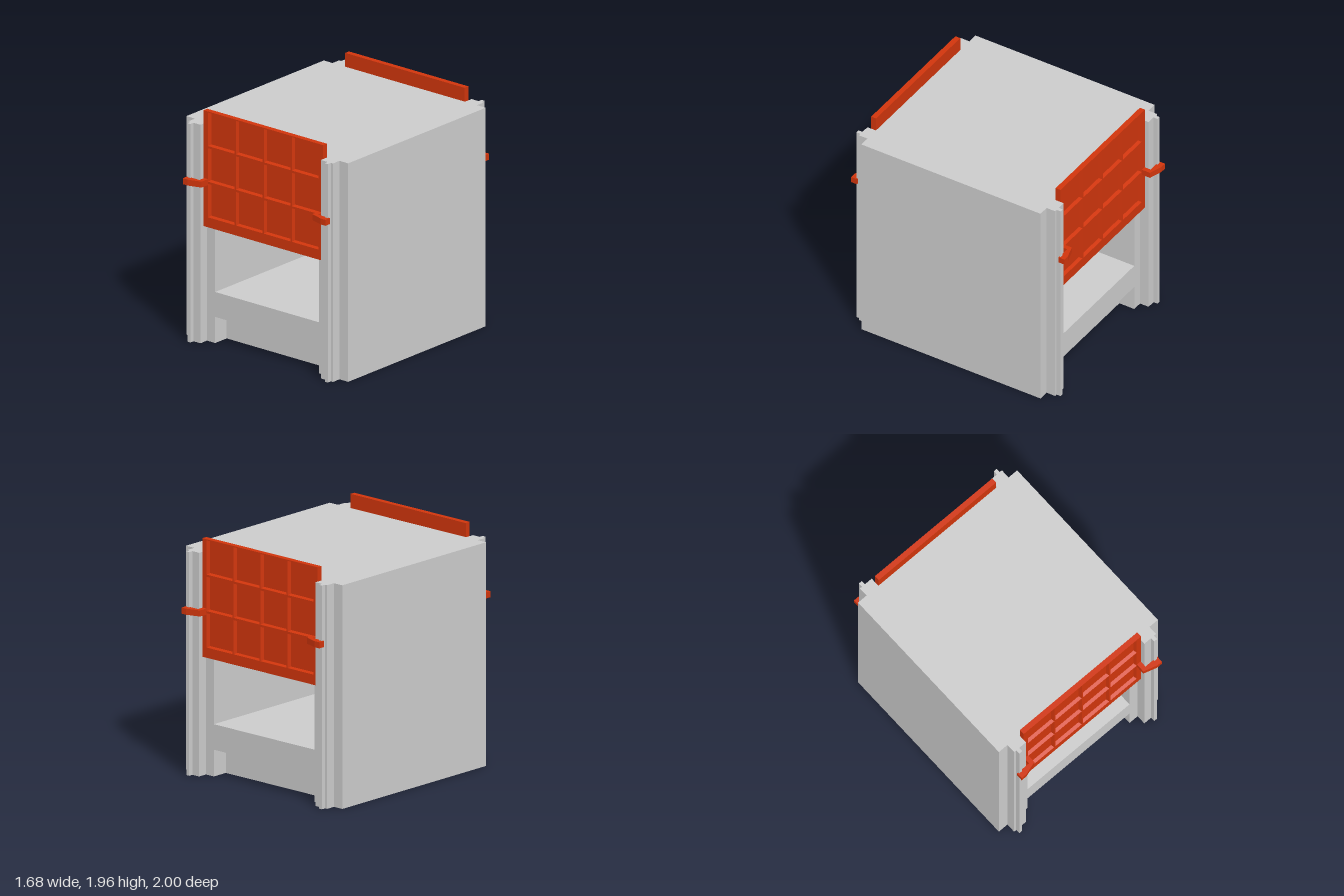
import * as THREE from 'three';

const grey = new THREE.MeshStandardMaterial({ color: 0xcccccc, flatShading: true });
const orange = new THREE.MeshStandardMaterial({ color: 0xd0350c, flatShading: true });

const W = 0.84, H = 1.84, D = 0.84;            // half width, height, half depth of the body
const OPEN = { x: 0.54, y0: 0.43, y1: 1.29 };  // passage through the body
const RECESS = { h: 0.22, d: 0.14 };           // toe recess below each opening

const vectors = (pts) => pts.map(([x, y]) => new THREE.Vector2(x, y));
const rect = (x0, y0, x1, y1) => vectors([[x0, y0], [x1, y0], [x1, y1], [x0, y1]]);

function extrude(points, holes, depth) {
  const shape = new THREE.Shape(points);
  for (const hole of holes) shape.holes.push(new THREE.Path(hole));
  return new THREE.ExtrudeGeometry(shape, { depth, bevelEnabled: false });
}

// Plan outline (x, z) raised from y0 to y1
function upright(points, y0, y1) {
  return extrude(points, [], y1 - y0).rotateX(Math.PI / 2).translate(0, y1, 0);
}

function add(parent, name, geometry, material) {
  const mesh = new THREE.Mesh(geometry, material);
  mesh.name = name;
  parent.add(mesh);
  return mesh;
}

// Door lattice whose openings narrow slightly towards the panel behind
function latticeGeometry() {
  const cols = [-0.435, -0.145, 0.145, 0.435], rows = [1.205, 1.505, 1.805];
  const hw = 0.138, hh = 0.141, taper = 0.01;
  const holes = [];
  for (const x of cols) for (const y of rows) holes.push(rect(x - hw, y - hh, x + hw, y + hh));
  const geometry = extrude(rect(-0.62, 0.98, 0.62, 1.955), holes, 0.03);
  const p = geometry.attributes.position;
  const nearest = (list, v) => list.reduce((a, b) => (Math.abs(b - v) < Math.abs(a - v) ? b : a));
  for (let i = 0; i < p.count; i++) {
    const x = p.getX(i), y = p.getY(i);
    if (p.getZ(i) > 0.001 || Math.abs(x) > 0.6) continue;
    p.setX(i, x + Math.sign(nearest(cols, x) - x) * taper);
    p.setY(i, y + Math.sign(nearest(rows, y) - y) * taper);
  }
  geometry.computeVertexNormals();
  return geometry;
}

// One end: recessed wall, rails, sliding door and its clips
function createEnd() {
  const end = new THREE.Group();
  const passage = rect(-OPEN.x, OPEN.y0, OPEN.x, OPEN.y1);

  const wall = vectors([
    [-W, 0], [-OPEN.x, 0], [-OPEN.x, RECESS.h], [OPEN.x, RECESS.h],
    [OPEN.x, 0], [W, 0], [W, H], [-W, H],
  ]);
  add(end, 'endWall', extrude(wall, [passage], RECESS.d), grey).position.z = D - RECESS.d;

  for (const side of [-1, 1]) {
    const mirrored = (pts) => vectors(pts.map(([x, z]) => [x * side, z]));
    const name = side > 0 ? 'left' : 'right';

    // Stepped guide rail with a thin fin
    const rail = mirrored([
      [0.625, D], [0.75, D], [0.75, 0.92], [0.728, 0.92],
      [0.728, 0.957], [0.697, 0.957], [0.697, 0.92], [0.625, 0.92],
    ]);
    add(end, name + 'GuideRail', upright(rail, 0, H), grey);

    // Hooked clip that reaches around the rail
    const clip = mirrored([
      [0.575, 0.88], [0.615, 0.88], [0.615, 0.945], [0.74, 0.945],
      [0.74, 1.0], [0.69, 1.0], [0.575, 0.965],
    ]);
    add(end, name + 'DoorClip', upright(clip, 1.335, 1.385), orange);
  }

  // Door: flat panel with the lattice in front
  const door = new THREE.Group();
  door.name = 'door';
  const panel = new THREE.BoxGeometry(1.24, 0.975, 0.018).translate(0, 1.4675, 0.851);
  add(door, 'doorPanel', panel, orange);
  add(door, 'doorLattice', latticeGeometry(), orange).position.z = 0.858;
  end.add(door);
  return end;
}

export function createModel() {
  const model = new THREE.Group();
  model.name = 'shelterWithSlidingDoors';

  // Middle of the body, open from end to end
  const depth = 2 * (D - RECESS.d);
  const body = extrude(rect(-W, 0, W, H), [rect(-OPEN.x, OPEN.y0, OPEN.x, OPEN.y1)], depth);
  add(model, 'body', body, grey).position.z = -depth / 2;

  const front = createEnd();
  front.name = 'frontEnd';
  const back = createEnd();
  back.name = 'backEnd';
  back.rotation.y = Math.PI;
  model.add(front, back);
  return model;
}
